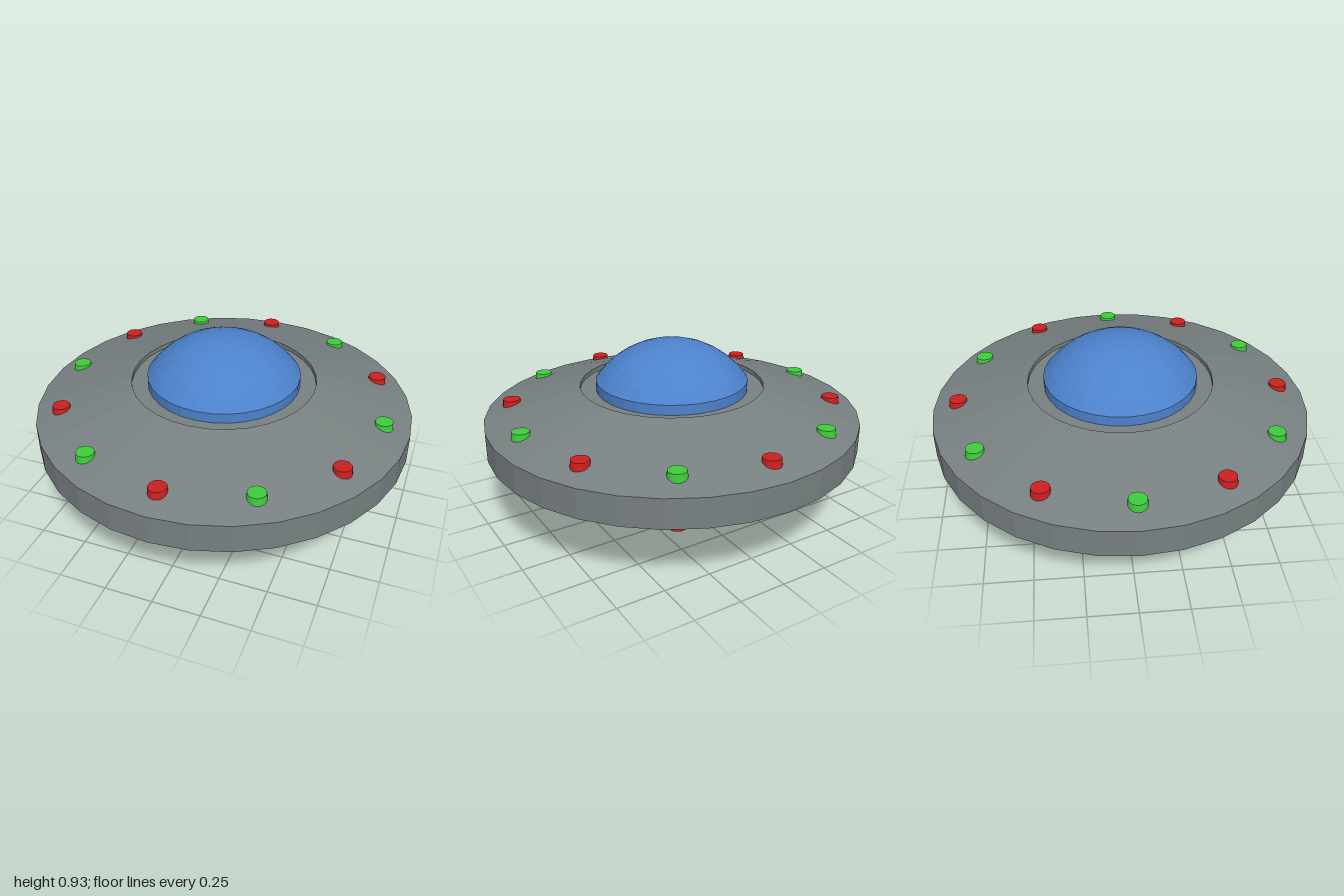
import * as THREE from 'three';

const MID = 0.4625; // height of the plane the saucer is mirrored about
const SIDES = 32;

function material(name, color) {
  const m = new THREE.MeshStandardMaterial({ color, flatShading: true });
  m.name = name;
  return m;
}

// Lathe from [radius, height] pairs listed from bottom to top
function lathe(points, mat, name) {
  const profile = points.map(([r, y]) => new THREE.Vector2(r, y));
  const mesh = new THREE.Mesh(new THREE.LatheGeometry(profile, SIDES), mat);
  mesh.name = name;
  return mesh;
}

export function createModel() {
  const grey = material('hull grey', 0x788081);
  const blue = material('dome blue', 0x4c82cc);
  const red = material('light red', 0xcc2020);
  const green = material('light green', 0x40cc3c);

  const model = new THREE.Group();
  model.name = 'flyingSaucer';

  // Hull: upper half profile with a recessed floor, mirrored for the lower half
  const upper = [[1, 0.076], [0.49, 0.2285], [0.49, 0.205], [0, 0.205]];
  const lower = upper.map(([r, y]) => [r, -y]).reverse();
  const hull = lathe([...lower, ...upper], grey, 'hull');
  hull.position.y = MID;
  model.add(hull);

  // Dome: short upright wall topped by a spherical cap
  const edge = 0.405, wallTop = 0.258, height = 0.2045;
  const radius = (edge * edge + height * height) / (2 * height);
  const capAngle = Math.asin(edge / radius);
  const domeProfile = [[edge, 0.19]];
  const steps = 7;
  for (let i = 0; i <= steps; i++) {
    const a = capAngle * (1 - i / steps);
    domeProfile.push([radius * Math.sin(a), wallTop + height - radius * (1 - Math.cos(a))]);
  }

  const lampGeometry = new THREE.CylinderGeometry(0.045, 0.052, 0.065, 20);

  // Each side has a dome and a ring of twelve lights in alternating colours
  for (const below of [false, true]) {
    const side = new THREE.Group();
    side.name = below ? 'lowerSide' : 'upperSide';
    side.add(lathe(domeProfile, blue, 'dome'));
    for (let i = 0; i < 12; i++) {
      const a = (i * Math.PI) / 6;
      const isGreen = (i % 2 === 0) !== below;
      const lamp = new THREE.Mesh(lampGeometry, isGreen ? green : red);
      lamp.name = isGreen ? 'greenLight' : 'redLight';
      lamp.position.set(0.862 * Math.cos(a), 0.11, 0.862 * Math.sin(a));
      side.add(lamp);
    }
    side.position.y = MID;
    if (below) side.rotation.x = Math.PI;
    model.add(side);
  }
  return model;
}
